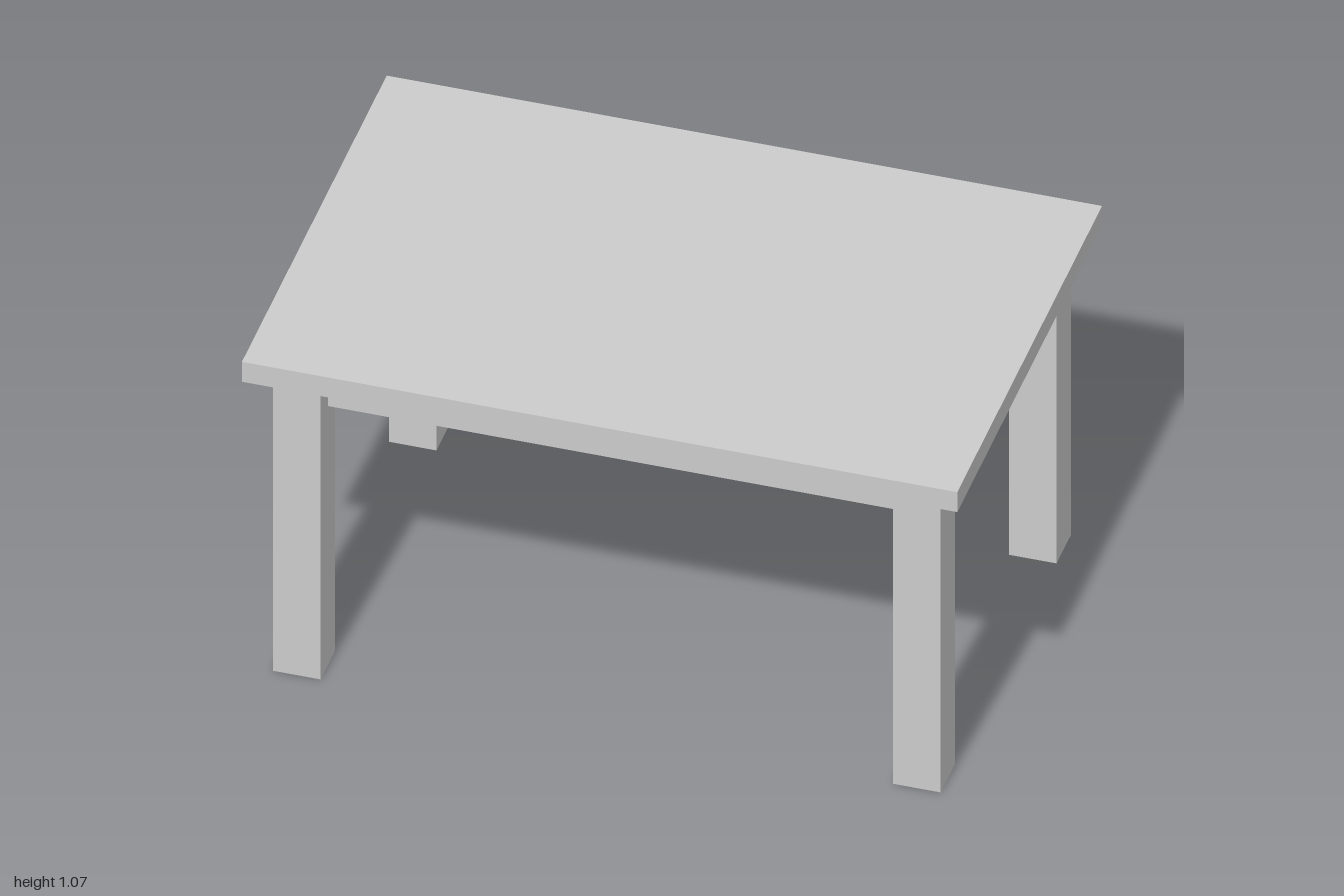
import * as THREE from 'three';

const U = 1 / 15; // design module: every size is a whole number of these

export function createModel() {
  const table = new THREE.Group();
  table.name = 'table';
  const material = new THREE.MeshStandardMaterial({ color: 0xcccccc, flatShading: true });

  // Box given by its size and centre, in modules
  function box(name, [w, h, d], [x, y, z]) {
    const mesh = new THREE.Mesh(new THREE.BoxGeometry(w * U, h * U, d * U), material);
    mesh.name = name;
    mesh.position.set(x * U, y * U, z * U);
    table.add(mesh);
  }

  // Table top
  box('tableTop', [30, 1, 20], [0, 15.5, 0]);

  // Four square legs
  for (const [side, sx] of [['Left', 1], ['Right', -1]]) {
    for (const [end, sz] of [['front', 1], ['back', -1]]) {
      box(`${end}${side}Leg`, [2, 15, 2], [13 * sx, 7.5, 8 * sz]);
    }
  }

  // Aprons between the legs, flush with the legs' inner faces
  for (const s of [1, -1]) {
    box(s > 0 ? 'frontApron' : 'backApron', [24, 2, 1], [0, 14, 7.5 * s]);
    box(s > 0 ? 'leftApron' : 'rightApron', [1, 2, 14], [12.5 * s, 14, 0]);
  }

  return table;
}
